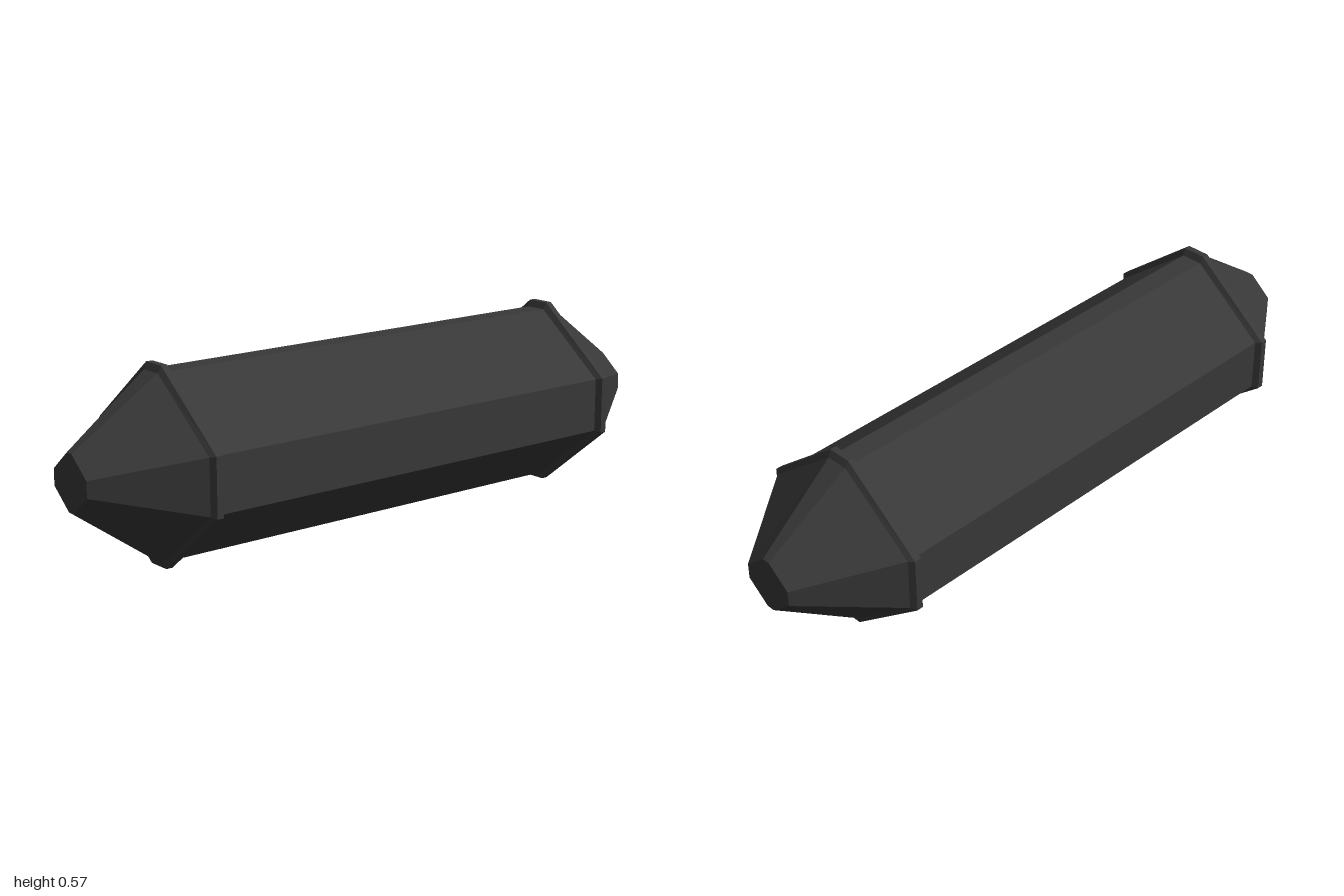
import * as THREE from 'three';

const CENTRE_Y = 0.285;

// Eight-sided cross-section: flat of half width a at half height h, flat of half height b at half width w
function section([z, w, h, a, b]) {
  return [[w, -b], [w, b], [a, h], [-a, h], [-w, b], [-w, -b], [-a, -h], [a, -h]]
    .map(([x, y]) => [x, y, z]);
}

// Flat-shaded skin through sections ordered by rising z, with an optional cap on the last
function loft(sections, cap = false) {
  const rings = sections.map(section);
  const pos = [];
  const tri = (...pts) => pts.forEach((p) => pos.push(...p));
  for (let s = 0; s < rings.length - 1; s++) {
    for (let i = 0; i < 8; i++) {
      const j = (i + 1) % 8;
      const [p, q, r, t] = [rings[s][i], rings[s][j], rings[s + 1][j], rings[s + 1][i]];
      tri(p, q, r);
      tri(p, r, t);
    }
  }
  if (cap) {
    const end = rings[rings.length - 1];
    for (let i = 1; i < 7; i++) tri(end[0], end[i], end[i + 1]);
  }
  const geometry = new THREE.BufferGeometry();
  geometry.setAttribute('position', new THREE.Float32BufferAttribute(pos, 3));
  geometry.computeVertexNormals();
  return geometry;
}

export function createModel() {
  const model = new THREE.Group();
  model.name = 'facetedCapsule';
  const charcoal = new THREE.MeshStandardMaterial({ color: 0x383838 });
  charcoal.name = 'charcoal';

  const slim = [0.267, 0.265, 0.033, 0.081];
  const wide = [0.285, 0.285, 0.036, 0.085];
  const tip = [0.082, 0.082, 0.012, 0.024];

  const add = (parent, name, geometry) => {
    const mesh = new THREE.Mesh(geometry, charcoal);
    mesh.name = name;
    parent.add(mesh);
  };

  // Long straight body
  const body = new THREE.Group();
  body.name = 'body';
  body.position.y = CENTRE_Y;
  add(body, 'bodyShell', loft([[-0.7, ...slim], [0.7, ...slim]]));
  model.add(body);

  // Bevelled collar and tapered nose, repeated at both ends
  const collar = loft([[0.7, ...slim], [0.71, ...wide], [0.73, ...wide], [0.74, ...slim]]);
  const nose = loft([[0.74, ...slim], [1, ...tip]], true);
  for (const [name, turn] of [['frontEnd', 0], ['backEnd', Math.PI]]) {
    const end = new THREE.Group();
    end.name = name;
    end.position.y = CENTRE_Y;
    end.rotation.y = turn;
    add(end, 'collar', collar);
    add(end, 'nose', nose);
    model.add(end);
  }
  return model;
}
